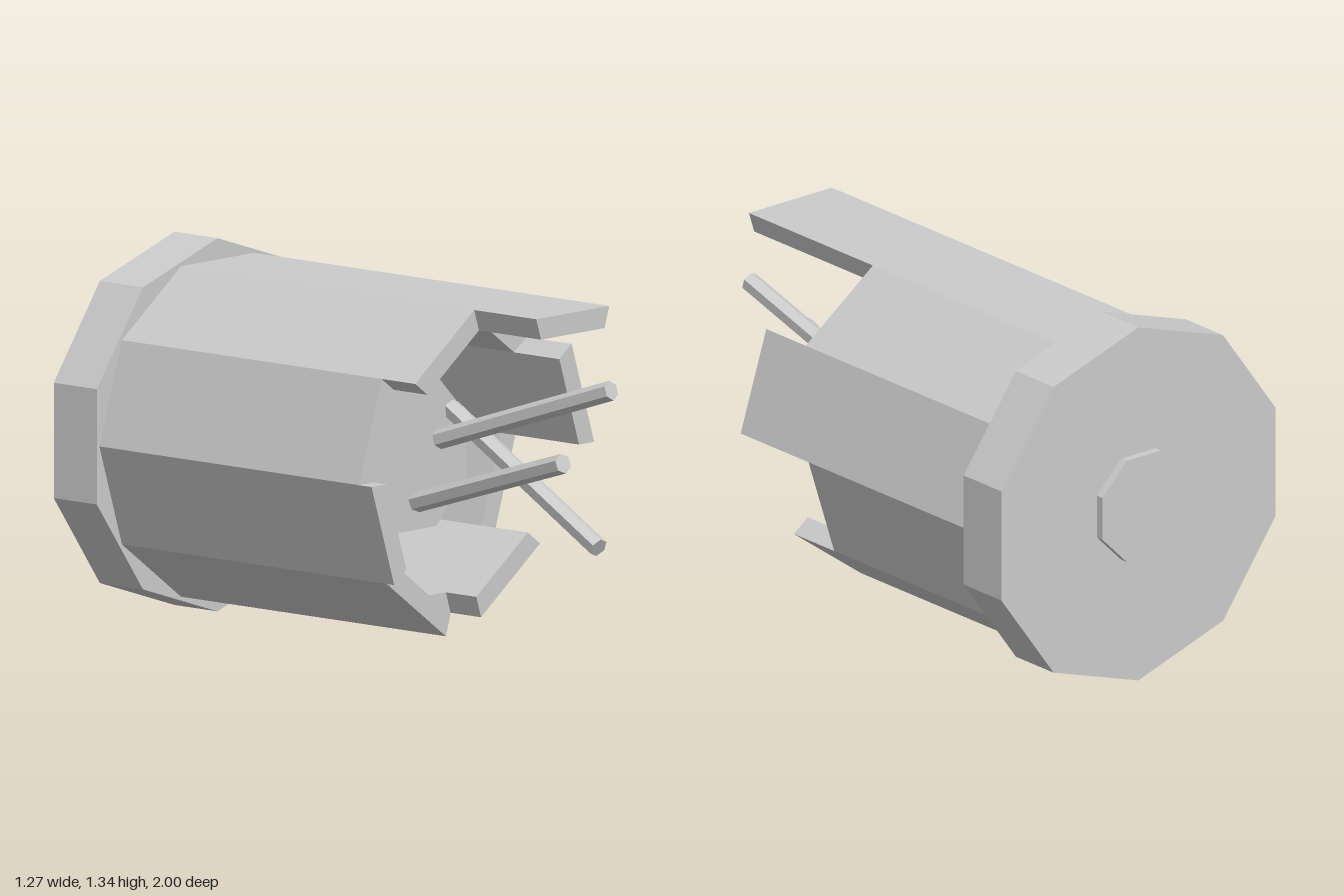
import * as THREE from 'three';

const CY = 0.668; // height of the barrel's axis
const mat = new THREE.MeshStandardMaterial({ color: 0xcccccc, flatShading: true });

export function createModel() {
  const group = new THREE.Group();
  const add = (name, geometry) => {
    const mesh = new THREE.Mesh(geometry, mat);
    mesh.name = name;
    group.add(mesh);
    return mesh;
  };

  // Prism along z, centred on the barrel's axis
  const disc = (name, radius, sides, z0, z1, turn = 0) => {
    const g = new THREE.CylinderGeometry(radius, radius, z1 - z0, sides, 1, false, turn);
    g.rotateX(Math.PI / 2);
    g.translate(0, CY, (z0 + z1) / 2);
    return add(name, g);
  };

  disc('endCap', 0.668, 10, -0.97, -0.765);
  disc('backHub', 0.207, 8, -1, -0.96, Math.PI / 8);
  disc('core', 0.293, 8, -0.78, 0.175, Math.PI / 8);

  // Ten wall staves broken off at different lengths, counter-clockwise from +x
  const outer = 0.622, inner = 0.542, back = -0.77;
  const frontEnds = [0.465, 0.25, 0.925, 0.63, 0.47, 0.53, 0.495, 0.17, 0.315, 0.095];
  frontEnds.forEach((front, i) => {
    const a = (i * Math.PI) / 5, b = a + Math.PI / 5;
    const at = (r, t) => new THREE.Vector2(r * Math.cos(t), CY + r * Math.sin(t));
    const shape = new THREE.Shape([at(inner, a), at(outer, a), at(outer, b), at(inner, b)]);
    const g = new THREE.ExtrudeGeometry(shape, { depth: front - back, bevelEnabled: false });
    g.translate(0, 0, back);
    add('stave' + (i + 1), g);
  });

  // Loose six-sided rods sticking out of the core
  const up = new THREE.Vector3(0, 1, 0);
  const rods = [
    [[0.11, 0.71, 0.19], [0.137, 0.97, 0.985]],
    [[-0.015, 0.5, 0.195], [-0.117, 0.74, 0.985]],
    [[0.193, 0.81, 0.17], [0.108, 0.407, 0.95]],
  ];
  rods.forEach(([from, to], i) => {
    const p = new THREE.Vector3(...from), q = new THREE.Vector3(...to);
    const rod = add('rod' + (i + 1), new THREE.CylinderGeometry(0.036, 0.036, p.distanceTo(q), 6));
    rod.position.copy(p).lerp(q, 0.5);
    rod.quaternion.setFromUnitVectors(up, q.sub(p).normalize());
  });

  return group;
}
